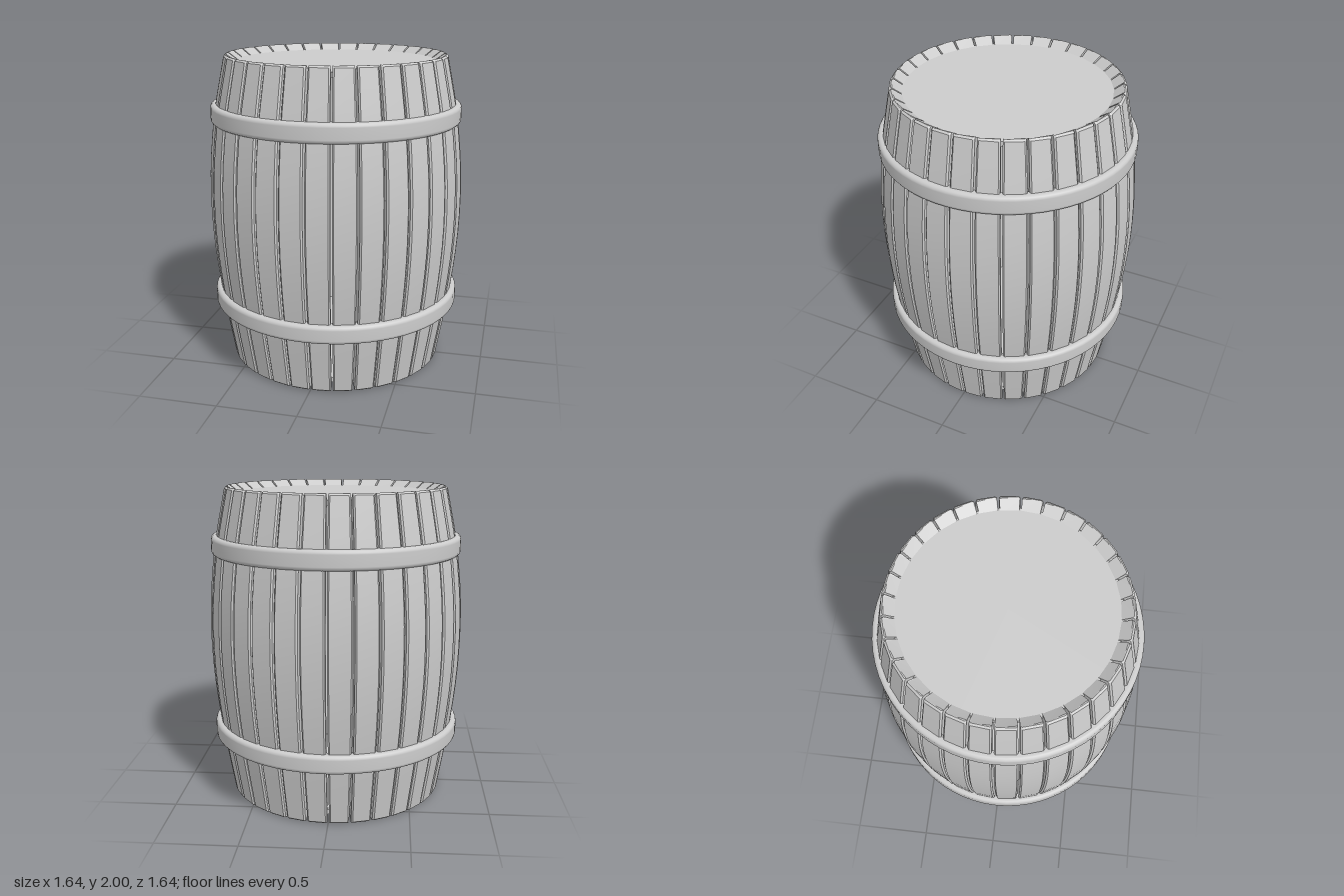
import * as THREE from 'three';
import { toCreasedNormals } from 'three/addons/utils/BufferGeometryUtils.js';

const STAVES = 32;
const GAP = 0.006; // half the slit between neighbouring staves
const THICK = 0.072;
const BEVEL = 0.01;

// Bulging outline of the barrel: radius (x) against height (y)
const outline = new THREE.SplineCurve([
  [0.693, 0], [0.755, 0.37], [0.797, 0.7], [0.815, 1],
  [0.809, 1.3], [0.778, 1.6], [0.758, 1.72], [0.7, 2],
].map(([r, y]) => new THREE.Vector2(r, y)));

// One curved plank facing +z: six-sided cross-sections stacked upwards
function staveGeometry() {
  const rows = outline.getSpacedPoints(16);
  rows[0].x -= BEVEL;
  rows[rows.length - 1].x -= BEVEL;
  rows.splice(1, 0, new THREE.Vector2(0.695, BEVEL));
  rows.splice(rows.length - 1, 0, new THREE.Vector2(0.702, 2 - BEVEL));

  const slope = Math.tan(Math.PI / STAVES);
  const half = (r) => r * slope - GAP;
  const pos = [];
  const index = [];
  const n = 6;
  for (const { x: r, y } of rows) {
    const yIn = 0.045 + y * 0.955; // plank ends slope inwards
    const rIn = r - THICK;
    const rMid = r - BEVEL;
    pos.push(
      -half(r) + BEVEL, y, r,
      half(r) - BEVEL, y, r,
      half(rMid), y, rMid,
      half(rIn), yIn, rIn,
      -half(rIn), yIn, rIn,
      -half(rMid), y, rMid,
    );
  }
  for (let j = 0; j < rows.length - 1; j++) {
    for (let k = 0; k < n; k++) {
      const a = j * n + k;
      const b = j * n + ((k + 1) % n);
      index.push(a, b, b + n, a, b + n, a + n);
    }
  }
  // End caps
  const top = (rows.length - 1) * n;
  for (let k = 1; k < n - 1; k++) {
    index.push(0, k + 1, k, top, top + k, top + k + 1);
  }
  const geo = new THREE.BufferGeometry();
  geo.setAttribute('position', new THREE.Float32BufferAttribute(pos, 3));
  geo.setIndex(index);
  return toCreasedNormals(geo, 0.4);
}

// Rounded band around the barrel
function hoopGeometry(radius, y0, y1) {
  const c = 0.025;
  const inner = 0.74;
  const pts = [new THREE.Vector2(inner, y0)];
  for (const [cy, start] of [[y0 + c, -Math.PI / 2], [y1 - c, 0]]) {
    for (let i = 0; i <= 4; i++) {
      const a = start + (i / 4) * (Math.PI / 2);
      pts.push(new THREE.Vector2(radius - c + c * Math.cos(a), cy + c * Math.sin(a)));
    }
  }
  pts.push(new THREE.Vector2(inner, y1));
  return new THREE.LatheGeometry(pts, 64);
}

export function createModel() {
  const barrel = new THREE.Group();
  barrel.name = 'barrel';
  const grey = new THREE.MeshStandardMaterial({ color: 0xcccccc });
  grey.name = 'plain grey';

  const add = (name, geo, parent = barrel) => {
    const mesh = new THREE.Mesh(geo, grey);
    mesh.name = name;
    parent.add(mesh);
    return mesh;
  };

  // Staves, with a slit falling on each axis
  const staves = new THREE.Group();
  staves.name = 'staves';
  barrel.add(staves);
  const plank = staveGeometry();
  for (let i = 0; i < STAVES; i++) {
    add('stave', plank, staves).rotation.y = ((i + 0.5) / STAVES) * Math.PI * 2;
  }

  // Flat heads set just inside the rims
  add('topHead', new THREE.CylinderGeometry(0.645, 0.645, 0.03, 64)).position.y = 1.945;
  add('bottomHead', new THREE.CylinderGeometry(0.64, 0.64, 0.03, 64)).position.y = 0.055;

  // Hoops
  add('upperHoop', hoopGeometry(0.798, 1.58, 1.7));
  add('lowerHoop', hoopGeometry(0.808, 0.372, 0.488));

  return barrel;
}
